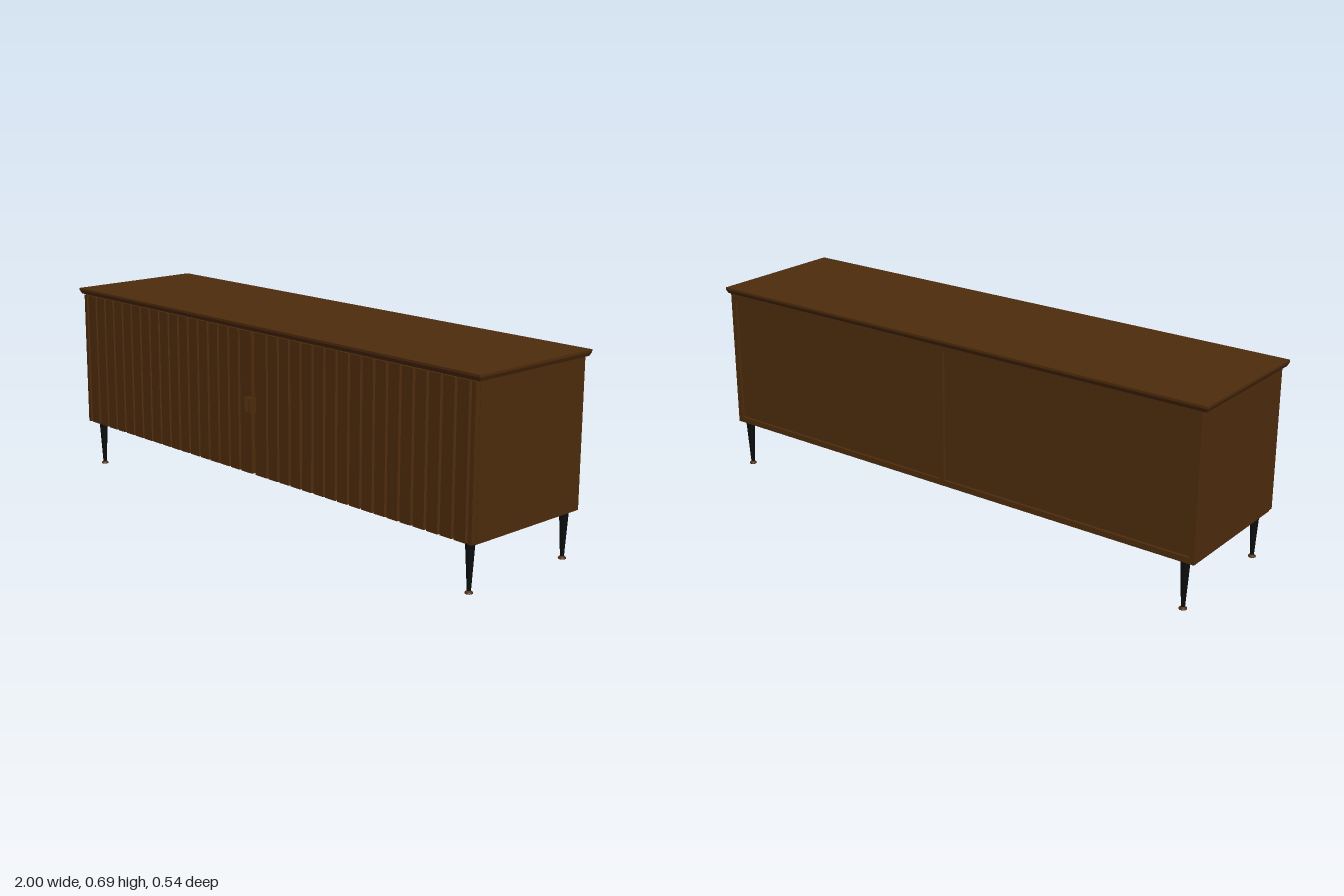
import * as THREE from 'three';

export function createModel() {
  const model = new THREE.Group();
  const wood = new THREE.MeshStandardMaterial({ color: 0x4f2c0d });
  wood.name = 'walnut wood';
  const black = new THREE.MeshStandardMaterial({ color: 0x0c0d0e });
  black.name = 'black metal';

  const add = (name, geometry, material = wood) => {
    const mesh = new THREE.Mesh(geometry, material);
    mesh.name = name;
    model.add(mesh);
    return mesh;
  };
  // Box given by its limits on each axis
  const box = (name, x0, x1, y0, y1, z0, z1) =>
    add(name, new THREE.BoxGeometry(x1 - x0, y1 - y0, z1 - z0))
      .position.set((x0 + x1) / 2, (y0 + y1) / 2, (z0 + z1) / 2);

  // Table top: thin slab, with its underside bevelled inwards
  box('topSlab', -1, 1, 0.68, 0.688, -0.27, 0.25);
  const bevel = new THREE.BoxGeometry(2, 0.013, 0.52);
  const p = bevel.attributes.position;
  for (let i = 0; i < p.count; i++) {
    if (p.getY(i) < 0) {
      p.setX(i, Math.sign(p.getX(i)) * 0.994);
      p.setZ(i, Math.sign(p.getZ(i)) * 0.254);
    }
  }
  bevel.computeVertexNormals();
  add('topBevel', bevel).position.set(0, 0.6735, -0.01);

  // Carcass: sides, floor, ceiling, divider and recessed back panels
  const [bottom, top, back, front] = [0.168, 0.667, -0.264, 0.223];
  box('floor', -0.96, 0.96, bottom, bottom + 0.02, back, front);
  box('ceiling', -0.96, 0.96, top - 0.02, top, back, front);
  box('divider', -0.01, 0.01, bottom + 0.02, top - 0.02, back, front);
  for (const s of [-1, 1]) {
    const a = s * 0.96, b = s * 0.98, c = s * 0.01;
    box('sidePanel', Math.min(a, b), Math.max(a, b), bottom, top, back, front);
    box('backPanel', Math.min(a, c), Math.max(a, c), bottom + 0.02, top - 0.02, back + 0.01, back + 0.02);
  }

  // Doors: grooved plan profile, extruded upwards
  const pitch = 0.0555, groove = 0.005, depth = 0.01;
  const doorFront = 0.243, doorBottom = 0.17, doorTop = 0.664;
  for (const s of [-1, 1]) {
    const pts = [[0.979, front], [0.979, doorFront]];
    for (let i = 0; i < 17; i++) {
      const x = 0.959 - i * pitch;
      pts.push([x + groove, doorFront], [x + groove * 0.5, doorFront - depth],
        [x - groove * 0.5, doorFront - depth], [x - groove, doorFront]);
    }
    pts.push([0.009, doorFront], [0.009, front]);
    const shape = new THREE.Shape(pts.map(([x, z]) => new THREE.Vector2(s * x, -z)));
    const door = new THREE.ExtrudeGeometry(shape, { depth: doorTop - doorBottom, bevelEnabled: false });
    door.rotateX(-Math.PI / 2);
    add(s > 0 ? 'leftDoor' : 'rightDoor', door).position.y = doorBottom;

    // Thin upright pull at the meeting edge, with softened corners
    const [h, d, r] = [0.053, 0.029, 0.003];
    const tab = new THREE.Shape();
    tab.moveTo(0, 0);
    tab.lineTo(d - r, 0);
    tab.quadraticCurveTo(d, 0, d, r);
    tab.lineTo(d, h - r);
    tab.quadraticCurveTo(d, h, d - r, h);
    tab.lineTo(0, h);
    const pull = new THREE.ExtrudeGeometry(tab, { depth: 0.006, bevelEnabled: false, curveSegments: 4 });
    pull.translate(0, 0, -0.003);
    pull.rotateY(-Math.PI / 2);
    add('handle', pull).position.set(s * 0.0125, 0.39, doorFront);
  }

  // Tapered legs with small wooden feet
  for (const x of [-0.94, 0.94]) {
    for (const z of [0.203, -0.245]) {
      add('leg', new THREE.CylinderGeometry(0.016, 0.0065, 0.16, 16), black).position.set(x, 0.088, z);
      const foot = [[0, 0], [0.013, 0], [0.013, 0.003], [0.007, 0.009], [0, 0.009]]
        .map(([r, y]) => new THREE.Vector2(r, y));
      add('foot', new THREE.LatheGeometry(foot, 16)).position.set(x, 0, z);
    }
  }
  return model;
}
